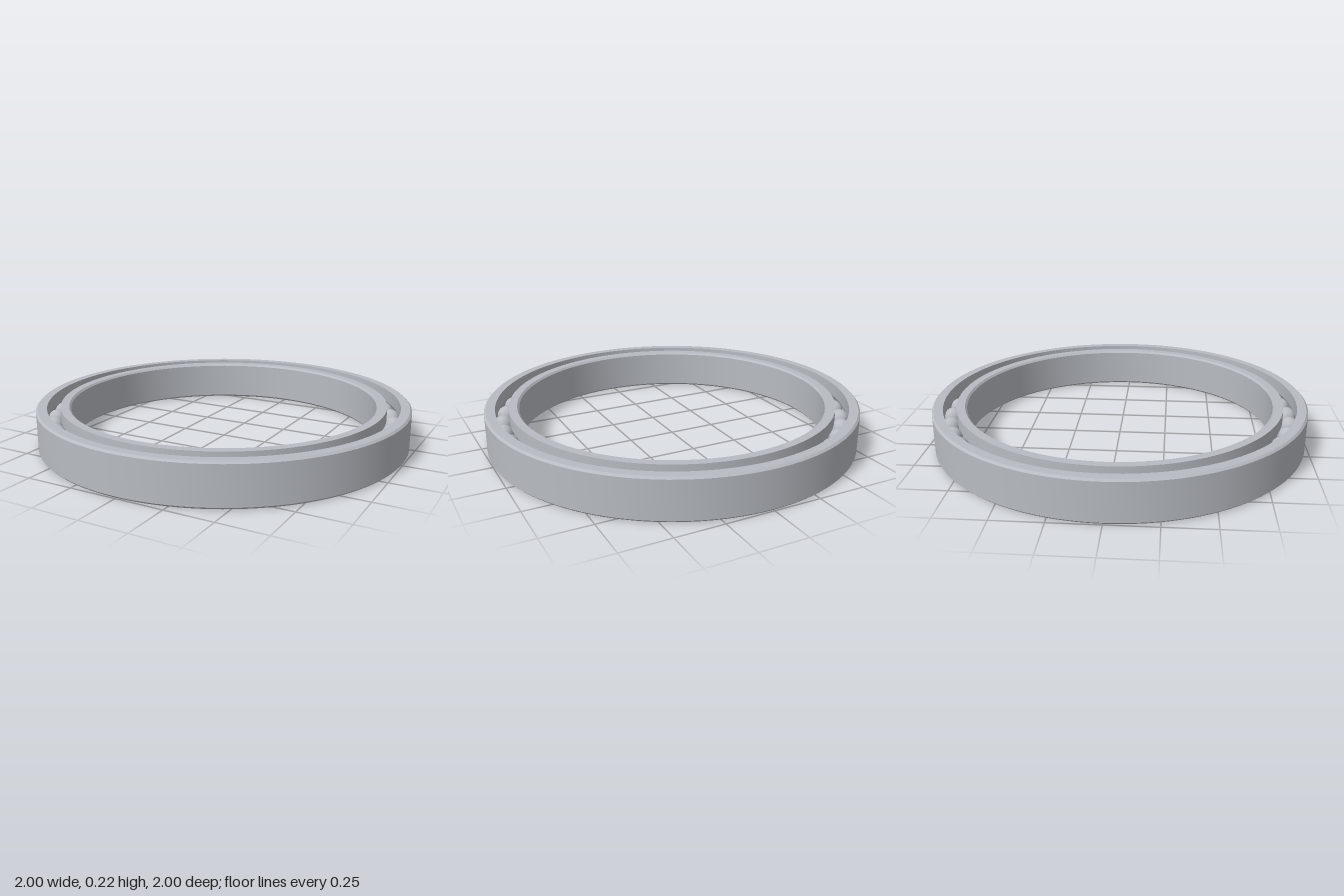
import * as THREE from 'three';
import { toCreasedNormals } from 'three/addons/utils/BufferGeometryUtils.js';

const HEIGHT = 0.217, CHAMFER = 0.01;
const PITCH = 0.9085;              // radius of the circle of ball centres
const BALL_RADIUS = 0.05, BALLS = 41;
const GROOVE_RADIUS = 0.052, HALF_GAP = 0.0345;

// Ring cross-section with a ball groove; side = 1 for the outer ring, -1 for the inner
function ringGeometry(wallRadius, side) {
  const pts = [];
  const add = (r, y) => pts.push(new THREE.Vector2(r, y));
  const shoulder = PITCH + side * HALF_GAP;
  const bevelled = wallRadius - side * CHAMFER;
  add(shoulder, 0);
  add(bevelled, 0);
  add(wallRadius, CHAMFER);
  add(wallRadius, HEIGHT - CHAMFER);
  add(bevelled, HEIGHT);
  add(shoulder, HEIGHT);
  // raceway, from the top shoulder down to the bottom one
  const a = Math.acos(HALF_GAP / GROOVE_RADIUS), steps = 12;
  for (let i = 0; i <= steps; i++) {
    const t = a - (2 * a * i) / steps;
    add(PITCH + side * GROOVE_RADIUS * Math.cos(t), HEIGHT / 2 + GROOVE_RADIUS * Math.sin(t));
  }
  add(shoulder, 0);
  if (side < 0) pts.reverse();     // keep the faces pointing outward
  return toCreasedNormals(new THREE.LatheGeometry(pts, 128), 0.5);
}

export function createModel() {
  const steel = new THREE.MeshStandardMaterial({ color: 0xb8bcc2 });
  steel.name = 'steel';
  const group = new THREE.Group();
  group.name = 'ballBearing';

  const outerRing = new THREE.Mesh(ringGeometry(1, 1), steel);
  outerRing.name = 'outerRing';
  const innerRing = new THREE.Mesh(ringGeometry(0.82, -1), steel);
  innerRing.name = 'innerRing';
  group.add(outerRing, innerRing);

  // Balls evenly spaced in the raceway, the first on +x
  const balls = new THREE.Group();
  balls.name = 'balls';
  const ballGeometry = new THREE.SphereGeometry(BALL_RADIUS, 32, 20);
  for (let i = 0; i < BALLS; i++) {
    const a = (i / BALLS) * Math.PI * 2;
    const ball = new THREE.Mesh(ballGeometry, steel);
    ball.name = 'ball' + (i + 1);
    ball.position.set(PITCH * Math.cos(a), HEIGHT / 2, PITCH * Math.sin(a));
    balls.add(ball);
  }
  group.add(balls);
  return group;
}
